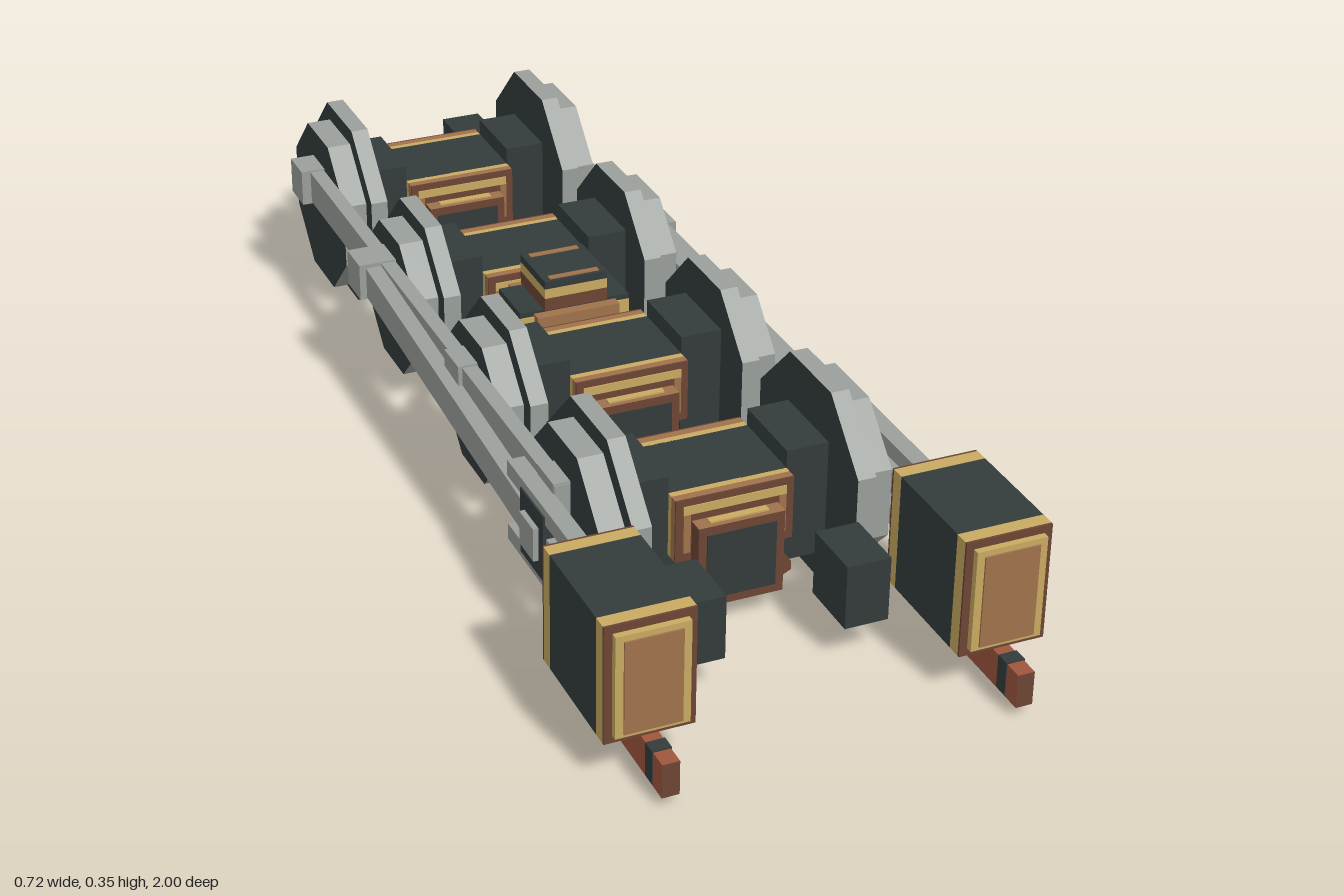
import * as THREE from 'three';

const mat = (name, color) => {
  const m = new THREE.MeshStandardMaterial({ color });
  m.name = name;
  return m;
};

export function createModel() {
  const dark = mat('dark iron', 0x343b3b);
  const steel = mat('light steel', 0x9a9f9b);
  const brass = mat('brass', 0xc8aa62);
  const bronze = mat('bronze', 0xa0724c);
  const brown = mat('brown casing', 0x6c4534);
  const copper = mat('red copper', 0xa0563f);

  const model = new THREE.Group();
  model.name = 'locomotiveRunningGear';

  // Box given by its limits on each axis
  const box = (parent, name, material, [x0, x1], [y0, y1], [z0, z1]) => {
    const m = new THREE.Mesh(new THREE.BoxGeometry(x1 - x0, y1 - y0, z1 - z0), material);
    m.position.set((x0 + x1) / 2, (y0 + y1) / 2, (z0 + z1) / 2);
    m.name = name;
    parent.add(m);
    return m;
  };
  // Same box on both sides of the model
  const pair = (name, material, [x0, x1], y, z) => {
    box(model, name, material, [x0, x1], y, z);
    box(model, name, material, [-x1, -x0], y, z);
  };
  // Octagonal disc with steel rim and dark faces
  const disc = (parent, name, apothem, x0, x1, side) => {
    const r = apothem / Math.cos(Math.PI / 8);
    const g = new THREE.CylinderGeometry(r, r, x1 - x0, 8).toNonIndexed();
    g.rotateY(Math.PI / 8).rotateZ(Math.PI / 2);
    g.computeVertexNormals();
    const m = new THREE.Mesh(g, [steel, dark, dark]);
    m.position.x = side * (x0 + x1) / 2;
    m.name = name;
    parent.add(m);
  };

  const axleY = 0.174;
  const axles = [[0.49, 0.174, 0.144], [0.09, 0.157, 0.128], [-0.315, 0.157, 0.128], [-0.717, 0.174, 0.144]];

  // Small brace beside the gearbox
  const gusset = new THREE.ExtrudeGeometry(new THREE.Shape([
    new THREE.Vector2(0.072, 0.045), new THREE.Vector2(0.1, 0.06), new THREE.Vector2(0.1, 0.075),
    new THREE.Vector2(0.085, 0.09), new THREE.Vector2(0.072, 0.09)]), { depth: 0.025, bevelEnabled: false });

  for (const [z, flange, tread] of axles) {
    // Wheels
    for (const side of [1, -1]) {
      const wheel = new THREE.Group();
      wheel.name = side > 0 ? 'leftWheel' : 'rightWheel';
      wheel.position.set(0, axleY, z);
      disc(wheel, 'flange', flange, 0.172, 0.203, side);
      disc(wheel, 'tread', tread, 0.2, 0.246, side);
      model.add(wheel);
    }
    // Axle boxes and dark middle of the gearbox
    pair('axleBox', dark, [0.1, 0.176], [0.06, 0.26], [z - 0.072, z + 0.072]);
    box(model, 'gearboxCore', dark, [-0.1, 0.1], [0.1, 0.23], [z - 0.072, z + 0.072]);
    box(model, 'gearboxSump', dark, [-0.07, 0.07], [0.045, 0.12], [z - 0.1, z + 0.1]);

    // Layered casing on the front and back of each gearbox
    for (const s of [1, -1]) {
      const end = new THREE.Group();
      end.name = s > 0 ? 'gearboxFront' : 'gearboxBack';
      end.position.z = z;
      if (s < 0) end.rotation.y = Math.PI;
      box(end, 'innerBand', brass, [-0.1, 0.1], [0.12, 0.23], [0.071, 0.083]);
      box(end, 'outerBand', bronze, [-0.1, 0.1], [0.12, 0.23], [0.083, 0.097]);
      box(end, 'casingFace', brown, [-0.1, 0.1], [0.12, 0.23], [0.097, 0.1]);
      box(end, 'brassStripe', brass, [-0.087, 0.087], [0.203, 0.218], [0.1, 0.102]);
      for (const x of [-0.081, 0.081]) box(end, 'bronzeStrip', bronze, [x - 0.006, x + 0.006], [0.135, 0.203], [0.1, 0.102]);
      box(end, 'noseBlock', [brown, brown, bronze, dark, brown, brown], [-0.073, 0.073], [0.045, 0.19], [0.095, 0.127]);
      box(end, 'noseTopStripe', brass, [-0.05, 0.05], [0.19, 0.193], [0.105, 0.118]);
      box(end, 'nosePanel', dark, [-0.059, 0.059], [0.06, 0.175], [0.127, 0.129]);
      for (const x of [1, -1]) {
        const g = new THREE.Mesh(gusset, brown);
        g.name = 'brace';
        if (x < 0) g.rotation.y = Math.PI;
        g.position.z = x > 0 ? 0.075 : 0.1;
        end.add(g);
      }
      model.add(end);
    }
  }

  // Central coupling block between the two middle axles
  const cz = -0.1125;
  box(model, 'centreSlab', [brown, brown, dark, dark, brown, brown], [-0.073, 0.073], [0.045, 0.19], [cz - 0.1, cz + 0.1]);
  box(model, 'centreBlock', dark, [-0.1, 0.1], [0.1, 0.235], [cz - 0.05, cz + 0.05]);
  for (const s of [1, -1]) {
    const a = cz + s * 0.05, b = cz + s * 0.07;
    const lim = (p, q) => [Math.min(p, q), Math.max(p, q)];
    box(model, 'centreBand', bronze, [-0.075, 0.075], [0.19, 0.23], lim(a, b));
    box(model, 'centrePost', brass, [-0.1, 0.1], [0.11, 0.225], lim(cz + s * 0.03, cz + s * 0.053));
  }
  box(model, 'pivotBase', brown, [-0.057, 0.057], [0.235, 0.258], [cz - 0.057, cz + 0.057]);
  box(model, 'pivotBand', brass, [-0.057, 0.057], [0.258, 0.276], [cz - 0.057, cz + 0.057]);
  box(model, 'pivotCap', dark, [-0.057, 0.057], [0.276, 0.29], [cz - 0.057, cz + 0.057]);
  for (const s of [1, -1]) {
    const e = cz + s * 0.045;
    box(model, 'pivotTrim', bronze, [-0.045, 0.045], [0.288, 0.2915], [e - 0.006, e + 0.006]);
  }

  // Frame end blocks
  pair('rearFrameBlock', dark, [0.1, 0.174], [0.063, 0.174], [-1, -0.89]);
  pair('frontFrameBlock', dark, [0.1, 0.174], [0.063, 0.174], [0.667, 0.777]);

  // Rods: the two sides are a quarter turn apart
  const rods = (side, dz, dy, crossZ) => {
    const g = new THREE.Group();
    g.name = side > 0 ? 'leftRods' : 'rightRods';
    const sx = (a, b) => (side > 0 ? [a, b] : [-b, -a]);
    const pinY = axleY + dy;
    const pins = axles.map(([z]) => z + dz);
    box(g, 'couplingRod', steel, sx(0.247, 0.273), [pinY - 0.03, pinY + 0.03], [pins[3] - 0.035, pins[0] + 0.035]);
    pins.forEach((z, i) => {
      const out = [0.274, 0.28, 0.313, 0.29][i];
      box(g, 'crankPin', steel, sx(0.235, out), [pinY - 0.033, pinY + 0.033], [z - 0.033, z + 0.033]);
    });
    // Main rod from the third crank pin to the crosshead
    const dZ = crossZ - pins[2], dY = axleY - pinY;
    const rod = box(g, 'mainRod', steel, sx(0.273, 0.301), [-0.028, 0.028], [0, Math.hypot(dZ, dY)]);
    rod.position.y = (pinY + axleY) / 2;
    rod.position.z = (pins[2] + crossZ) / 2;
    rod.rotation.x = -Math.atan2(dY, dZ);
    // Crosshead, guide bars and piston rod
    box(g, 'crosshead', dark, sx(0.268, 0.305), [0.117, 0.233], [crossZ - 0.048, crossZ + 0.048]);
    box(g, 'crossheadPin', steel, sx(0.29, 0.314), [0.145, 0.203], [crossZ - 0.029, crossZ + 0.029]);
    box(g, 'pistonRod', steel, sx(0.275, 0.3), [0.155, 0.193], [crossZ, 0.7]);
    for (const y of [0.117, 0.233]) box(g, 'guideBar', steel, sx(0.272, 0.302), [y - 0.014, y + 0.014], [0.4, 0.7]);
    model.add(g);
  };
  rods(1, -0.057, 0, 0.455);
  rods(-1, 0, 0.057, 0.51);

  // Steam cylinders with layered end plates
  for (const side of [1, -1]) {
    const c = new THREE.Group();
    c.name = side > 0 ? 'leftCylinder' : 'rightCylinder';
    c.position.set(side * 0.287, 0, 0.808);
    const w = 0.072, Y = [0.075, 0.275];
    box(c, 'cylinderBody', dark, [-w, w], Y, [-0.088, 0.088]);
    for (const s of [1, -1]) {
      const end = new THREE.Group();
      end.name = s > 0 ? 'frontEnd' : 'backEnd';
      if (s < 0) end.rotation.y = Math.PI;
      box(end, 'endBand', brass, [-w, w], Y, [0.088, 0.112]);
      box(end, 'endFace', brown, [-w, w], Y, [0.112, 0.116]);
      box(end, 'endPlate', brass, [-0.059, 0.059], [0.088, 0.262], [0.116, 0.127]);
      box(end, 'endPanel', bronze, [-0.046, 0.046], [0.094, 0.252], [0.127, 0.13]);
      c.add(end);
    }
    // Drain pipe below the cylinder
    const px = [-0.014, 0.014], pm = [copper, copper, copper, copper, brown, brown];
    box(c, 'pipeTip', pm, px, [0.017, 0.075], [0.07, 0.192]);
    box(c, 'pipeRun', pm, px, [0.017, 0.045], [-0.073, 0.07]);
    box(c, 'pipeRiser', pm, px, [0.045, 0.076], [-0.073, -0.05]);
    box(c, 'pipeCollar', dark, [-0.0155, 0.0155], [0.02, 0.077], [0.135, 0.16]);
    model.add(c);
  }
  return model;
}
